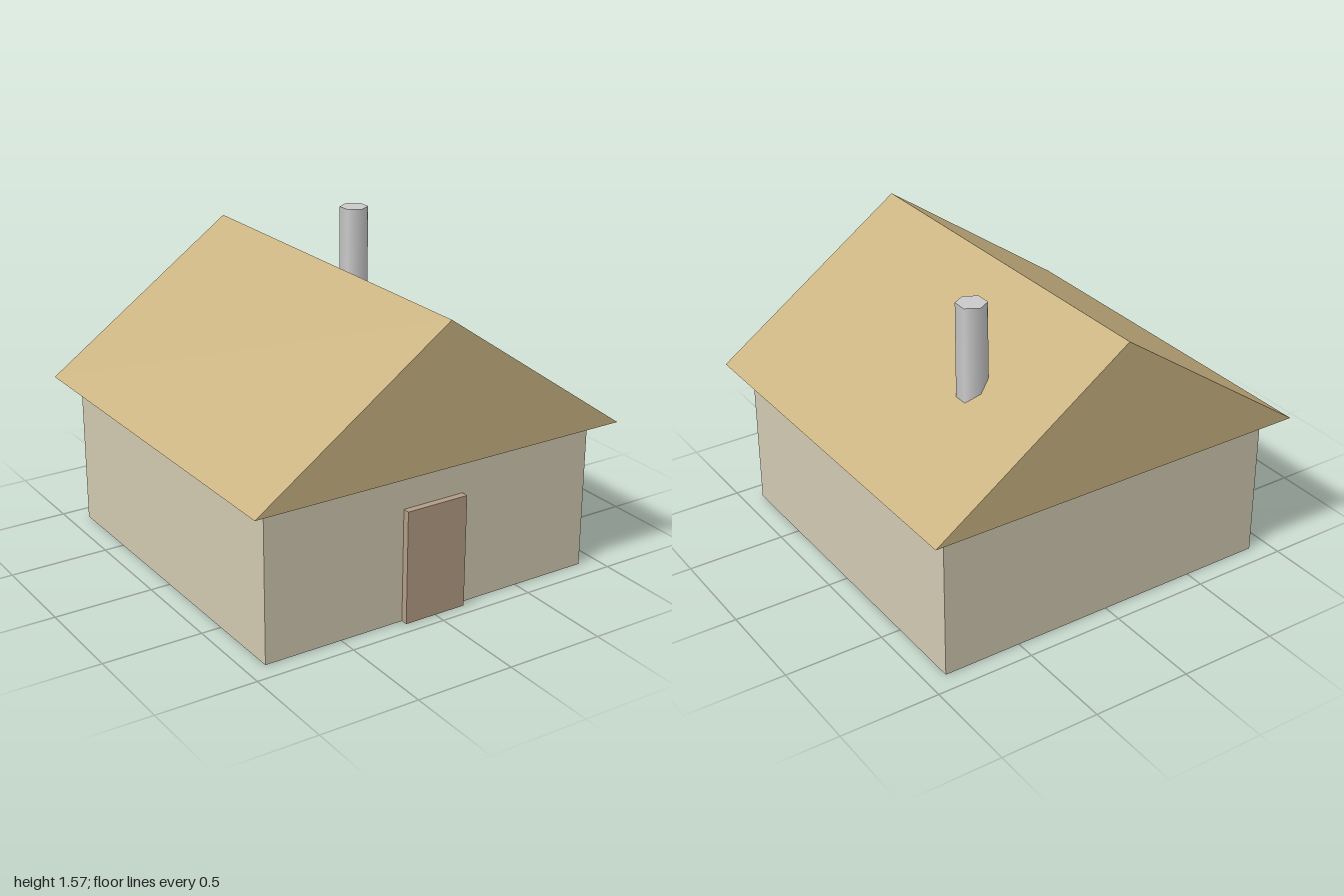
import * as THREE from 'three';

const WALL_TOP = 0.77;
const RIDGE = 1.47;

export function createModel() {
  const house = new THREE.Group();
  house.name = 'house';

  const add = (name, geometry, color, x, y, z, flatShading = true) => {
    const material = new THREE.MeshStandardMaterial({ color, flatShading });
    const mesh = new THREE.Mesh(geometry, material);
    mesh.name = name;
    mesh.position.set(x, y, z);
    house.add(mesh);
  };

  // Square body of the house
  add('walls', new THREE.BoxGeometry(1.8, WALL_TOP, 1.8), 0xd2cab2, 0, WALL_TOP / 2, 0);

  // Solid gable roof with overhanging eaves, ridge running front to back
  const gable = new THREE.Shape([
    new THREE.Vector2(-1, WALL_TOP),
    new THREE.Vector2(1, WALL_TOP),
    new THREE.Vector2(0, RIDGE),
  ]);
  add('roof', new THREE.ExtrudeGeometry(gable, { depth: 2, bevelEnabled: false }), 0xcab382, 0, 0, -1);

  // Door slab standing proud of the front wall
  add('door', new THREE.BoxGeometry(0.33, 0.57, 0.035), 0xb39d84, 0, 0.285, 0.9175);

  // Six-sided chimney pipe, sunk into the roof slope
  const pipeBottom = 1.0, pipeTop = 1.57;
  add('chimney', new THREE.CylinderGeometry(0.073, 0.073, pipeTop - pipeBottom, 6),
    0xcccccc, 0.465, (pipeTop + pipeBottom) / 2, -0.467, false);

  return house;
}
